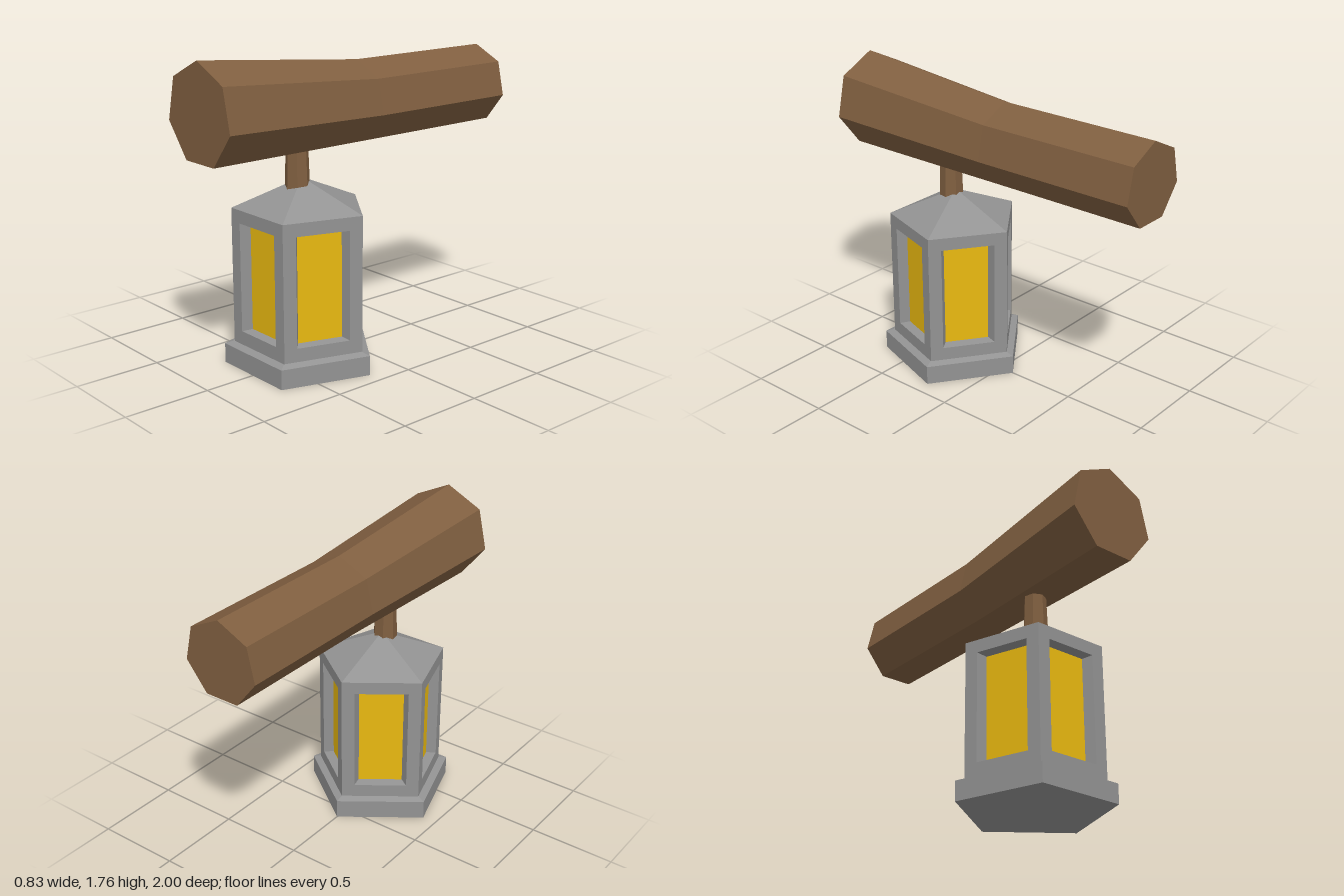
import * as THREE from 'three';

const stone = new THREE.MeshStandardMaterial({ color: 0x939393, flatShading: true });
const wood = new THREE.MeshStandardMaterial({ color: 0x805f40, flatShading: true });
const glow = new THREE.MeshStandardMaterial({ color: 0xe9b910, flatShading: true });

const SIDES = 5;
const BODY_R = 0.386;

function addMesh(parent, name, geometry, material) {
  const mesh = new THREE.Mesh(geometry, material);
  mesh.name = name;
  parent.add(mesh);
  return mesh;
}

// Five-sided solid of revolution with one corner at the back
function pentagonal(points) {
  const profile = points.map(([r, y]) => new THREE.Vector2(r, y));
  return new THREE.LatheGeometry(profile, SIDES, Math.PI);
}

// Rectangle corners, counter-clockwise as seen from outside
function rect(halfWidth, y0, y1, z) {
  return [[-halfWidth, y0, z], [halfWidth, y0, z], [halfWidth, y1, z], [-halfWidth, y1, z]];
}

// Bands of quads joining successive four-cornered rings
function bands(rings) {
  const out = [];
  for (let r = 0; r < rings.length - 1; r++) {
    for (let i = 0; i < 4; i++) {
      const j = (i + 1) % 4;
      const [a, b, c, d] = [rings[r][i], rings[r][j], rings[r + 1][j], rings[r + 1][i]];
      out.push(...a, ...b, ...c, ...a, ...c, ...d);
    }
  }
  const geometry = new THREE.BufferGeometry();
  geometry.setAttribute('position', new THREE.Float32BufferAttribute(out, 3));
  geometry.computeVertexNormals();
  return geometry;
}

// Seven-sided beam running along z, thicker and rising towards the front
function beamGeometry() {
  const geometry = new THREE.CylinderGeometry(1, 1, 2, 7, 2, false, Math.PI);
  geometry.rotateX(Math.PI / 2);
  const back = { z: -1, r: 0.23, x: 0.015, y: 1.442 };
  const bend = { ...back, z: -0.04 };
  const front = { z: 1, r: 0.278, x: 0, y: 1.487 };
  const p = geometry.attributes.position;
  for (let i = 0; i < p.count; i++) {
    const z = p.getZ(i);
    const s = z < -0.5 ? back : z > 0.5 ? front : bend;
    p.setXYZ(i, s.x + p.getX(i) * s.r, s.y + p.getY(i) * s.r, s.z);
  }
  geometry.computeVertexNormals();
  return geometry;
}

export function createModel() {
  const model = new THREE.Group();
  model.name = 'hangingLantern';

  addMesh(model, 'beam', beamGeometry(), wood);

  // Post between the roof and the beam
  const post = addMesh(model, 'post', new THREE.CylinderGeometry(0.062, 0.071, 0.27, 7), wood);
  post.position.set(0, 1.125, 0.373);

  const base = addMesh(model, 'base',
    pentagonal([[0, 0], [0.437, 0], [0.437, 0.112], [BODY_R, 0.127]]), stone);
  base.position.z = 0.346;

  const lantern = new THREE.Group();
  lantern.name = 'lantern';
  lantern.position.z = 0.342;
  model.add(lantern);

  addMesh(lantern, 'roof', pentagonal([[BODY_R, 0.9], [0, 1.065]]), stone);

  // Walls with recessed windows
  const half = BODY_R * Math.sin(Math.PI / SIDES);
  const apothem = BODY_R * Math.cos(Math.PI / SIDES);
  const paneZ = apothem - 0.055;
  const wallGeometry = bands([
    rect(half, 0.122, 0.9, apothem),
    rect(0.153, 0.203, 0.826, apothem),
    rect(0.128, 0.21, 0.816, paneZ),
  ]);
  const paneGeometry = new THREE.PlaneGeometry(0.256, 0.606);
  paneGeometry.translate(0, 0.513, paneZ);
  for (let i = 0; i < SIDES; i++) {
    const side = new THREE.Group();
    side.name = 'side' + (i + 1);
    side.rotation.y = (i * 2 * Math.PI) / SIDES;
    addMesh(side, 'windowFrame', wallGeometry, stone);
    addMesh(side, 'windowPane', paneGeometry, glow);
    lantern.add(side);
  }

  return model;
}
